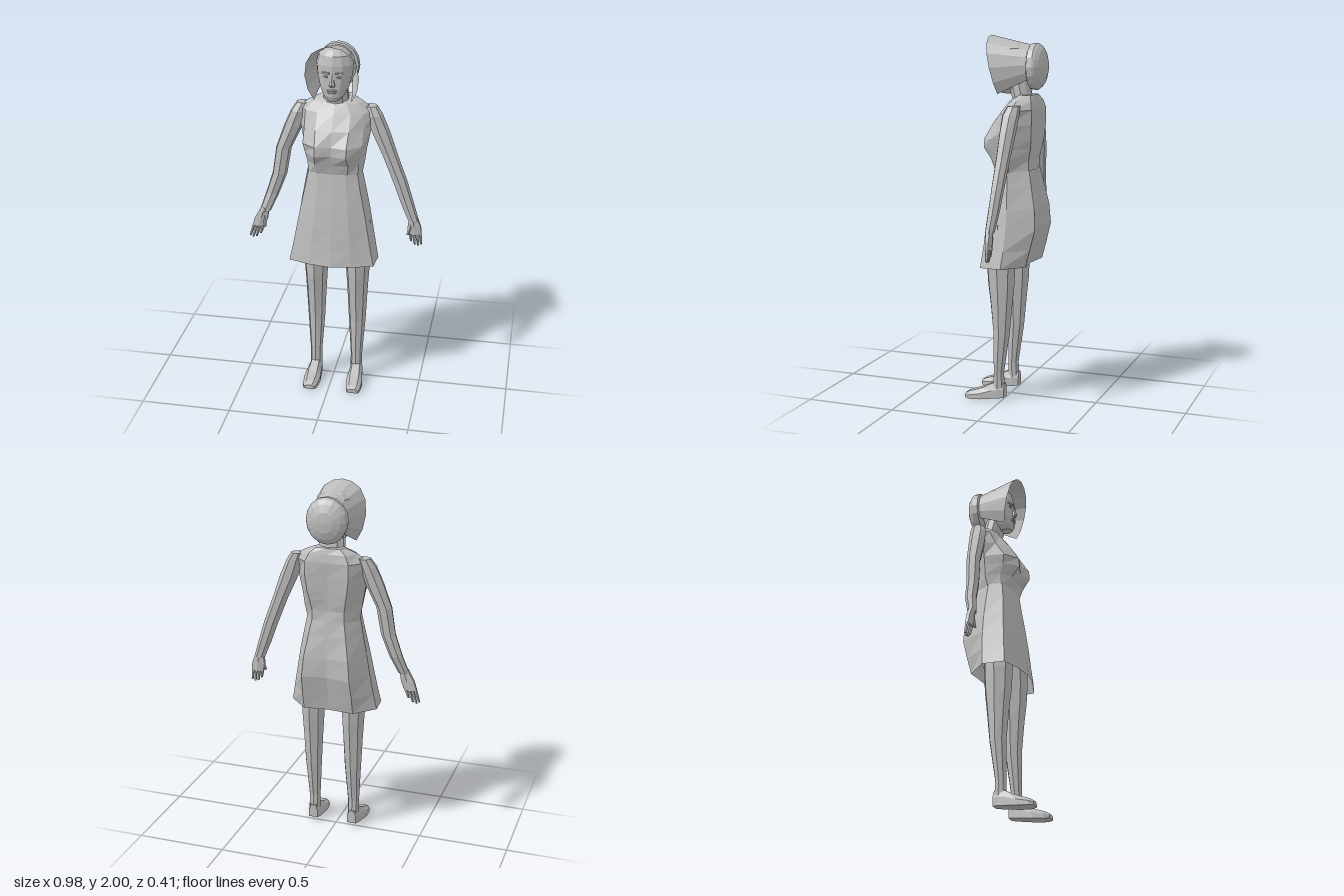
import * as THREE from 'three';

const cloth = new THREE.MeshStandardMaterial({ color: 0xbcbcbc, flatShading: true, side: THREE.DoubleSide });
cloth.name = 'plainGrey';

function mesh(name, geometry) {
  const flat = geometry.index ? geometry.toNonIndexed() : geometry;
  flat.computeVertexNormals();
  const m = new THREE.Mesh(flat, cloth);
  m.name = name;
  return m;
}

// Skins a stack of equal-length cross-sections, optionally closed and capped
function loft(rings, { closed = true, caps = true } = {}) {
  const n = rings[0].length, pos = rings.flat(2), idx = [];
  for (let i = 0; i < rings.length - 1; i++) {
    for (let j = 0; j < (closed ? n : n - 1); j++) {
      const k = (j + 1) % n, a = i * n + j, b = i * n + k;
      idx.push(a, b, b + n, a, b + n, a + n);
    }
  }
  if (closed && caps) {
    const top = (rings.length - 1) * n;
    for (let j = 1; j < n - 1; j++) idx.push(0, j + 1, j, top, top + j, top + j + 1);
  }
  const g = new THREE.BufferGeometry();
  g.setAttribute('position', new THREE.Float32BufferAttribute(pos, 3));
  g.setIndex(idx);
  return g;
}

// Horizontal oval section: centre, half width, half depth
const oval = (sides) => ([x, y, z, rx, rz]) => Array.from({ length: sides }, (_, i) => {
  const a = (i / sides) * Math.PI * 2;
  return [x + Math.sin(a) * rx, y, z + Math.cos(a) * rz];
});
const limb = (rows, sides = 8) => loft(rows.map(oval(sides)));

// Symmetric body section: y, front z, four (x, z) pairs from front to back, back z
function bodyRing([y, zf, ax, az, bx, bz, cx, cz, dx, dz, zb]) {
  const half = [[ax, y, az], [bx, y, bz], [cx, y, cz], [dx, y, dz]];
  const other = half.map(([x, h, z]) => [-x, h, z]).reverse();
  return [[0, y, zf], ...half, [0, y, zb], ...other];
}

function makeHead() {
  const head = new THREE.Group();
  head.name = 'head';
  head.add(mesh('skull', limb([
    [0, 1.69, 0.015, 0.03, 0.035], [0, 1.715, 0.005, 0.055, 0.055], [0, 1.76, -0.01, 0.078, 0.072],
    [0, 1.82, -0.025, 0.094, 0.085], [0, 1.88, -0.03, 0.1, 0.088], [0, 1.93, -0.03, 0.085, 0.076],
    [0, 1.955, -0.03, 0.055, 0.05], [0, 1.965, -0.03, 0.02, 0.02],
  ], 12)));
  head.add(mesh('neck', limb([
    [0, 1.6, -0.08, 0.1, 0.07], [0, 1.66, -0.07, 0.072, 0.055], [0, 1.76, -0.045, 0.065, 0.06],
  ], 10)));
  head.add(mesh('nose', limb([
    [0, 1.775, 0.06, 0.017, 0.012], [0, 1.785, 0.062, 0.018, 0.019], [0, 1.81, 0.058, 0.01, 0.014],
    [0, 1.845, 0.052, 0.008, 0.008],
  ], 6)));
  // Lips
  for (const [y, w] of [[1.752, 0.03], [1.741, 0.024]]) {
    const lip = new THREE.SphereGeometry(1, 6, 4);
    lip.scale(w, 0.006, 0.012).translate(0, y, 0.058);
    head.add(mesh('lip', lip));
  }
  // Brows and eyes
  for (const s of [-1, 1]) {
    const brow = new THREE.BoxGeometry(0.042, 0.009, 0.012);
    brow.rotateY(s * 0.3).translate(s * 0.035, 1.845, 0.052);
    const eye = new THREE.SphereGeometry(1, 6, 4);
    eye.scale(0.015, 0.007, 0.007).translate(s * 0.035, 1.825, 0.052);
    head.add(mesh('brow', brow), mesh('eye', eye));
  }
  return head;
}

function makeBonnet() {
  const bonnet = new THREE.Group();
  bonnet.name = 'bonnet';
  // Flared brim, open underneath, sloping back toward the chin
  const half = [[0.1, 1.69], [0.13, 1.75], [0.143, 1.83], [0.132, 1.905], [0.1, 1.96], [0.052, 1.99]];
  const edge = [...half, [0, 2], ...half.map(([x, y]) => [-x, y]).reverse()];
  const front = edge.map(([x, y]) => [x, y, 0.045 + (y - 1.715) * 0.228]);
  const back = edge.map((_, i) => {
    const a = -0.65 + (i / (edge.length - 1)) * (Math.PI + 1.3);
    return [Math.cos(a) * 0.096, 1.835 + Math.sin(a) * 0.115, -0.118];
  });
  bonnet.add(mesh('brim', loft([front, back], { closed: false })));
  // Gathered band and domed crown
  const profile = [[0.09, 0.105], [0.1, 0.116], [0.123, 0.124], [0.125, 0.155], [0.117, 0.168],
    [0.095, 0.185], [0.055, 0.2], [0, 0.206]].map(([r, h]) => new THREE.Vector2(r, h));
  const crown = new THREE.LatheGeometry(profile, 16);
  crown.rotateX(-Math.PI / 2).scale(0.9, 1, 1).translate(0, 1.835, 0);
  bonnet.add(mesh('crown', crown));
  return bonnet;
}

function makeDress() {
  const dress = new THREE.Group();
  dress.name = 'dress';
  dress.add(mesh('bodice', loft([
    [1.27, 0.062, 0.08, 0.058, 0.135, 0.03, 0.15, -0.04, 0.09, -0.135, -0.14],
    [1.34, 0.08, 0.09, 0.08, 0.14, 0.03, 0.162, -0.05, 0.09, -0.135, -0.132],
    [1.4, 0.1, 0.085, 0.124, 0.15, 0.05, 0.17, -0.05, 0.1, -0.148, -0.138],
    [1.45, 0.1, 0.085, 0.12, 0.16, 0.06, 0.18, -0.05, 0.11, -0.155, -0.142],
    [1.53, 0.072, 0.09, 0.07, 0.16, 0.01, 0.195, -0.055, 0.12, -0.16, -0.148],
    [1.61, 0.02, 0.09, 0.01, 0.16, -0.025, 0.21, -0.075, 0.12, -0.16, -0.155],
    [1.655, -0.015, 0.065, -0.02, 0.12, -0.045, 0.15, -0.085, 0.1, -0.15, -0.148],
    [1.685, -0.05, 0.04, -0.055, 0.07, -0.075, 0.085, -0.1, 0.065, -0.135, -0.14],
  ].map(bodyRing))));
  dress.add(mesh('skirt', loft([
    [0.765, 0.145, 0.12, 0.128, 0.235, 0.09, 0.245, -0.03, 0.14, -0.135, -0.12],
    [0.86, 0.13, 0.11, 0.118, 0.215, 0.08, 0.227, -0.04, 0.14, -0.16, -0.14],
    [0.97, 0.115, 0.1, 0.108, 0.195, 0.07, 0.208, -0.045, 0.135, -0.187, -0.165],
    [1.08, 0.1, 0.09, 0.094, 0.175, 0.06, 0.19, -0.045, 0.125, -0.18, -0.165],
    [1.2, 0.08, 0.08, 0.076, 0.15, 0.05, 0.167, -0.04, 0.105, -0.155, -0.152],
    [1.285, 0.068, 0.075, 0.065, 0.135, 0.04, 0.15, -0.035, 0.09, -0.138, -0.142],
  ].map(bodyRing), { caps: false })));
  return dress;
}

// Arms hang outward; the two hands sit at slightly different angles
function makeArm(s, wristX, tipX, tipY, handZ) {
  const arm = new THREE.Group();
  arm.name = s > 0 ? 'leftArm' : 'rightArm';
  arm.add(mesh('sleeve', limb([
    [s * wristX, 1.0, handZ, 0.032, 0.024], [s * (wristX - 0.038), 1.1, -0.052, 0.038, 0.03],
    [s * (wristX - 0.08), 1.22, -0.058, 0.042, 0.034], [s * 0.292, 1.37, -0.065, 0.044, 0.038],
    [s * 0.238, 1.5, -0.07, 0.052, 0.044], [s * 0.205, 1.59, -0.075, 0.045, 0.046],
    [s * 0.185, 1.635, -0.085, 0.035, 0.035],
  ], 7)));
  const at = (t, dx = 0) => [s * (THREE.MathUtils.lerp(wristX, tipX, t) + dx), THREE.MathUtils.lerp(1.02, tipY, t), handZ];
  arm.add(mesh('palm', limb([
    [...at(0.62), 0.04, 0.016], [...at(0.35), 0.042, 0.018], [...at(0), 0.026, 0.02],
  ], 6)));
  for (let i = 0; i < 4; i++) {
    const dx = (i - 1.5) * 0.018;
    const lift = [0.86, 0.97, 1, 0.95][i];
    arm.add(mesh('finger', limb([
      [...at(lift, dx), 0.006, 0.007], [...at(0.58, dx), 0.01, 0.011],
    ], 5)));
  }
  const [tx, ty, tz] = at(0.6, -0.04);
  arm.add(mesh('thumb', limb([
    [tx, ty, tz + 0.016, 0.007, 0.008], [...at(0.25, -0.015), 0.014, 0.014],
  ], 5)));
  return arm;
}

function makeLeg(s) {
  const leg = new THREE.Group();
  leg.name = s > 0 ? 'leftLeg' : 'rightLeg';
  leg.add(mesh('shin', limb([
    [s * 0.117, 0.06, 0.018, 0.034, 0.034], [s * 0.117, 0.16, 0.02, 0.033, 0.03],
    [s * 0.117, 0.38, 0.004, 0.048, 0.047], [s * 0.117, 0.56, 0.004, 0.057, 0.064],
    [s * 0.117, 0.66, 0.005, 0.063, 0.076], [s * 0.117, 0.78, 0.006, 0.071, 0.082],
    [s * 0.105, 1.0, 0, 0.08, 0.085],
  ])));
  // Foot: sections from toe to heel as z, half width, sole height, top height
  const foot = [[0.208, 0.028, 0.006, 0.03], [0.185, 0.04, 0.003, 0.043], [0.12, 0.046, 0.008, 0.065],
    [0.05, 0.038, 0.016, 0.1], [0.015, 0.034, 0.02, 0.11], [-0.016, 0.026, 0.024, 0.1]];
  leg.add(mesh('foot', loft(foot.map(([z, w, lo, hi]) => {
    const x = s * 0.117 + s * z * 0.04, mid = lo + (hi - lo) * 0.55;
    return [[x - w, lo, z], [x - w, mid, z], [x - w * 0.55, hi, z],
      [x + w * 0.55, hi, z], [x + w, mid, z], [x + w, lo, z]];
  }).reverse().map((r) => r.reverse()))));
  return leg;
}

export function createModel() {
  const figure = new THREE.Group();
  figure.name = 'bonnetedWoman';
  const legs = new THREE.Group();
  legs.name = 'legs';
  legs.add(makeLeg(1), makeLeg(-1));
  legs.position.x = 0.018;
  figure.add(
    makeHead(), makeBonnet(), makeDress(), legs,
    makeArm(1, 0.432, 0.455, 0.85, -0.045),
    makeArm(-1, 0.395, 0.46, 0.83, -0.028),
  );
  return figure;
}
